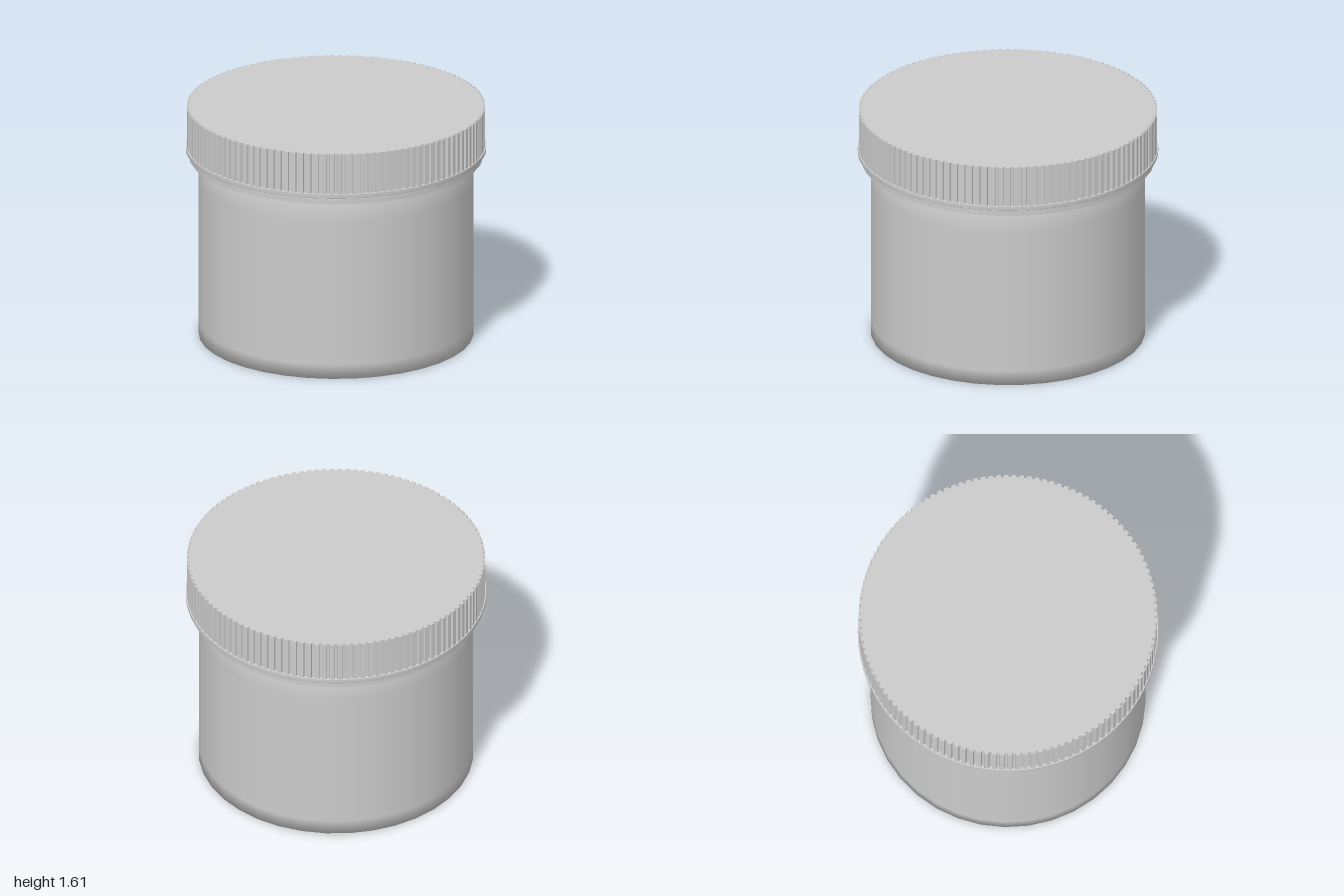
import * as THREE from 'three';

const material = new THREE.MeshStandardMaterial({ color: 0xcccccc, side: THREE.DoubleSide });

// Lathe a profile of [radius, y, sharp?]; a sharp point is doubled to split its normals.
function lathe(name, profile, segments) {
  const points = [];
  for (const [r, y, sharp] of profile) {
    points.push(new THREE.Vector2(r, y));
    if (sharp) points.push(new THREE.Vector2(r, y));
  }
  const mesh = new THREE.Mesh(new THREE.LatheGeometry(points, segments), material);
  mesh.name = name;
  return mesh;
}

// Gear-like outline for the gripping ribs of the lid.
function ribbedOutline(teeth, root, tip) {
  const points = [];
  const step = (Math.PI * 2) / teeth;
  for (let i = 0; i < teeth; i++) {
    for (const [r, t] of [[root, -0.5], [root, -0.34], [tip, -0.28], [tip, 0.28], [root, 0.34]]) {
      const a = (i + t) * step;
      points.push(new THREE.Vector2(r * Math.cos(a), r * Math.sin(a)));
    }
  }
  return new THREE.Shape(points);
}

export function createModel() {
  const group = new THREE.Group();
  group.name = 'screwTopJar';

  // Jar: dimpled, slightly recessed base, straight wall and softly shaded ends
  group.add(lathe('jarBody', [
    [0, 0.012], [0.03, 0.014], [0.05, 0.032], [0.065, 0.016], [0.09, 0.015],
    [0.6, 0.015], [0.66, 0.012], [0.72, 0.002], [0.8, 0],
    [0.915, 0], [0.915, 0.1], [0.915, 1.1], [0.915, 1.25], [0.88, 1.26],
  ], 36));

  // Shoulder ring below the lid, with the neck rising inside it
  group.add(lathe('shoulderRing', [
    [0.88, 1.255], [0.98, 1.255, true], [0.98, 1.29, true], [0.9, 1.29, true], [0.9, 1.45],
  ], 36));

  // Lid: plain lower band
  group.add(lathe('lidBand', [
    [0.88, 1.3], [0.997, 1.3, true], [1, 1.305], [1, 1.33, true], [0.96, 1.332],
  ], 120));

  // Lid: ribbed side and flat top
  const ribs = new THREE.ExtrudeGeometry(ribbedOutline(120, 0.977, 0.993), {
    depth: 0.282, bevelEnabled: false,
  });
  ribs.rotateX(-Math.PI / 2);
  ribs.translate(0, 1.328, 0);
  const lid = new THREE.Mesh(ribs, material);
  lid.name = 'ribbedLid';
  group.add(lid);

  return group;
}
